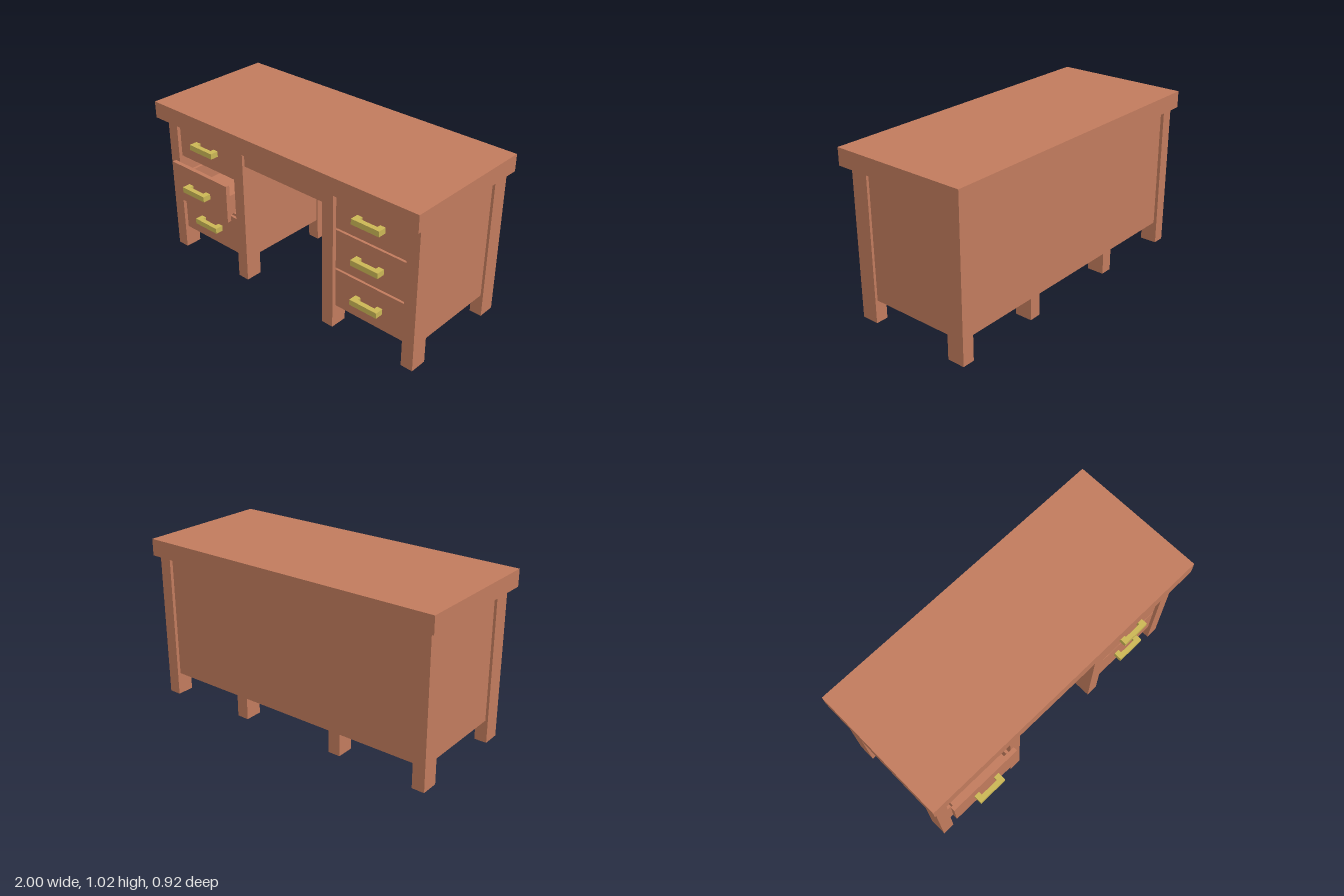
import * as THREE from 'three';

export function createModel() {
  const wood = new THREE.MeshStandardMaterial({ color: 0xc17b5d });
  wood.name = 'wood';
  const brass = new THREE.MeshStandardMaterial({ color: 0xcab655 });
  brass.name = 'brass';

  const desk = new THREE.Group();
  desk.name = 'desk';

  // Box given by its min and max on each axis
  function box(parent, name, x0, x1, y0, y1, z0, z1, material = wood) {
    const mesh = new THREE.Mesh(new THREE.BoxGeometry(x1 - x0, y1 - y0, z1 - z0), material);
    mesh.position.set((x0 + x1) / 2, (y0 + y1) / 2, (z0 + z1) / 2);
    mesh.name = name;
    parent.add(mesh);
  }

  // Drawer with front, open-topped box and bar handle; origin at centre of the front's face
  function drawer(name, x, y, z) {
    const d = new THREE.Group();
    d.name = name;
    d.position.set(x, y, z);
    box(d, 'drawerFront', -0.243, 0.243, -0.123, 0.123, -0.027, 0);
    box(d, 'drawerBottom', -0.22, 0.22, -0.097, -0.08, -0.58, -0.027);
    for (const s of [-1, 1]) {
      const c = s * 0.211;
      box(d, 'drawerSide', c - 0.009, c + 0.009, -0.097, 0.033, -0.58, -0.027);
      const p = s * 0.077;
      box(d, 'handlePost', p - 0.018, p + 0.018, -0.0175, 0.0175, 0, 0.023, brass);
    }
    box(d, 'drawerBack', -0.202, 0.202, -0.097, 0.033, -0.58, -0.562);
    box(d, 'handleBar', -0.095, 0.095, -0.0175, 0.0175, 0.023, 0.053, brass);
    desk.add(d);
  }

  box(desk, 'desktop', -1, 1, 0.92, 1.025, -0.46, 0.41);
  box(desk, 'backPanel', -0.89, 0.89, 0.14, 0.915, -0.41, -0.385);
  box(desk, 'kneeApron', -0.315, 0.315, 0.79, 0.89, 0.3, 0.327);

  for (const s of [-1, 1]) {
    // Legs: outer pair reaches past the back panel, inner pair is flush with it
    for (const [c, back] of [[0.93, -0.43], [0.352, -0.409]]) {
      const x = s * c;
      box(desk, 'frontLeg', x - 0.039, x + 0.039, 0, 0.92, 0.235, 0.345);
      box(desk, 'backLeg', x - 0.039, x + 0.039, 0, 0.92, back, back + 0.11);
    }
    // Pedestal side panels
    for (const c of [0.94, 0.338]) {
      const x = s * c;
      box(desk, 'sidePanel', x - 0.013, x + 0.013, 0.14, 0.915, -0.322, 0.237);
    }
    // Pedestal floor and the rails around the drawers
    const x = s * 0.641;
    box(desk, 'pedestalFloor', x - 0.29, x + 0.29, 0.165, 0.18, -0.386, 0.29);
    for (const y of [0.148, 0.402, 0.662]) {
      box(desk, 'drawerRail', x - 0.255, x + 0.255, y - 0.009, y + 0.009, 0.27, 0.31);
    }
    // Three drawers each; the right middle one is pulled out
    [0.272, 0.532, 0.791].forEach((y, i) => {
      const open = s < 0 && i === 1;
      drawer(open ? 'openDrawer' : 'drawer', x, y, open ? 0.407 : 0.327);
    });
  }
  return desk;
}
